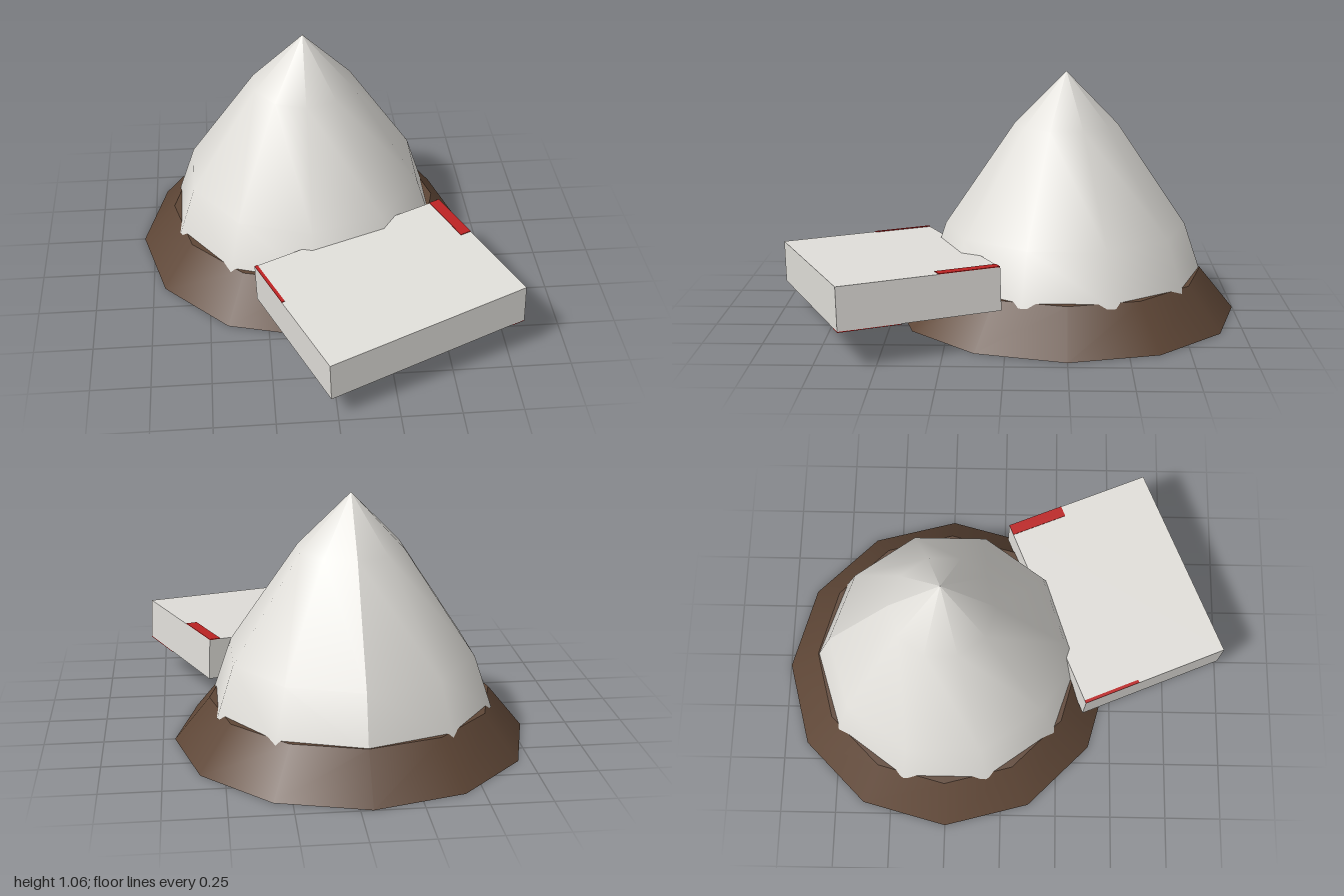
import * as THREE from 'three';

const paleGrey = new THREE.MeshStandardMaterial({ color: 0xe0ded9, side: THREE.DoubleSide });
paleGrey.name = 'paleGrey';
const earthBrown = new THREE.MeshStandardMaterial({ color: 0x5e4636, side: THREE.DoubleSide });
earthBrown.name = 'earthBrown';
const markerRed = new THREE.MeshStandardMaterial({ color: 0xbb2222 });
markerRed.name = 'markerRed';

function add(parent, name, geometry, material, x = 0, y = 0, z = 0) {
  const mesh = new THREE.Mesh(geometry, material);
  mesh.name = name;
  mesh.position.set(x, y, z);
  parent.add(mesh);
  return mesh;
}

export function createModel() {
  const model = new THREE.Group();
  model.name = 'domeWithSlab';

  // Round mound: twelve-sided sloped skirt, open below, with a flat top
  const mound = new THREE.Group();
  mound.name = 'mound';
  mound.position.set(-0.05, 0, -0.25);
  model.add(mound);
  add(mound, 'baseSkirt', new THREE.CylinderGeometry(0.6, 0.75, 0.185, 12, 1, true), earthBrown, 0, 0.0925);
  const top = add(mound, 'baseTop', new THREE.CircleGeometry(0.6, 12), earthBrown, 0, 0.185);
  top.rotation.x = -Math.PI / 2;

  // Ten-sided pointed dome, its lower rim sunk just below the base top
  const profile = [[0.602, 0.165], [0.527, 0.385], [0.226, 0.83], [0, 1.06]]
    .map(([r, y]) => new THREE.Vector2(r, y));
  const domeShape = new THREE.LatheGeometry(profile, 10, Math.PI);
  domeShape.computeVertexNormals();
  add(mound, 'dome', domeShape, paleGrey);

  // Slab leaning slightly against the dome
  const width = 0.913, height = 0.18, depth = 0.68;
  const xAxis = new THREE.Vector3(0.84, 0.043, -0.355).normalize();
  const zAxis = new THREE.Vector3(0.26, -0.03, 0.63);
  zAxis.y = 0.0 - 0.008;
  const yAxis = zAxis.clone().cross(xAxis).normalize();
  zAxis.crossVectors(xAxis, yAxis);
  const slab = new THREE.Group();
  slab.name = 'slab';
  slab.quaternion.setFromRotationMatrix(new THREE.Matrix4().makeBasis(xAxis, yAxis, zAxis));
  slab.position.set(0.254, 0.23, 0.508);
  model.add(slab);
  add(slab, 'slabBody', new THREE.BoxGeometry(width, height, depth), paleGrey);

  // Thin red markers along the slab's edges: [name, width, length, side, face, end]
  const markers = [
    ['leftTopMarker', 0.05, 0.26, 1, 1, -1],
    ['rightTopMarker', 0.014, 0.26, -1, 1, -1],
    ['leftUnderMarker', 0.06, 0.26, 1, -1, 1],
  ];
  for (const [name, w, l, side, face, end] of markers) {
    add(slab, name, new THREE.BoxGeometry(w, 0.004, l), markerRed,
      side * (width - w) / 2, face * (height / 2 + 0.001), end * (depth - l) / 2);
  }

  return model;
}
